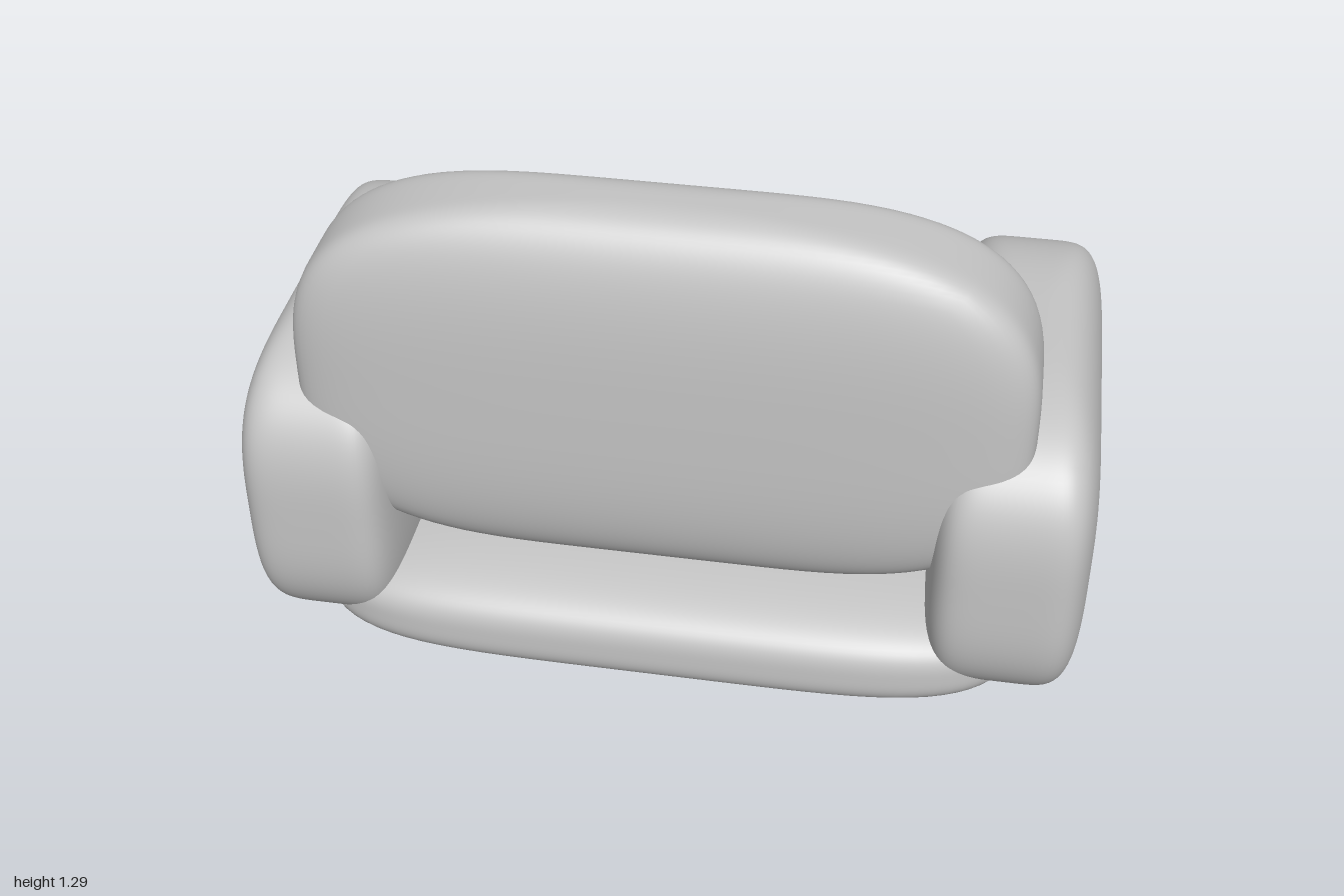
import * as THREE from 'three';
import { mergeVertices } from 'three/addons/utils/BufferGeometryUtils.js';

// Soft pillow block filling the given ranges.
// plan: squareness seen from above, side: squareness of the vertical sections.
function pillow([x0, x1], [y0, y1], [z0, z1], plan, side) {
  const box = new THREE.BoxGeometry(2, 2, 2, 32, 32, 32);
  box.deleteAttribute('uv');
  box.deleteAttribute('normal');
  const geometry = mergeVertices(box, 1e-4);
  const pos = geometry.attributes.position;
  const p = new THREE.Vector3();
  for (let i = 0; i < pos.count; i++) {
    p.fromBufferAttribute(pos, i);
    const flat = Math.pow(Math.abs(p.x) ** plan + Math.abs(p.z) ** plan, 1 / plan);
    p.divideScalar(Math.pow(flat ** side + Math.abs(p.y) ** side, 1 / side));
    pos.setXYZ(i, p.x, p.y, p.z);
  }
  geometry.scale((x1 - x0) / 2, (y1 - y0) / 2, (z1 - z0) / 2);
  geometry.translate((x0 + x1) / 2, (y0 + y1) / 2, (z0 + z1) / 2);
  geometry.computeVertexNormals();
  return geometry;
}

export function createModel() {
  const sofa = new THREE.Group();
  sofa.name = 'sofa';
  const fabric = new THREE.MeshStandardMaterial({ color: 0xc4c4c4 });
  fabric.name = 'grey fabric';

  const add = (name, ...shape) => {
    const mesh = new THREE.Mesh(pillow(...shape), fabric);
    mesh.name = name;
    sofa.add(mesh);
  };

  // Low base and tall backrest
  add('base', [-0.88, 0.88], [0, 0.295], [-0.54, 0.57], 5, 3.2);
  add('backrest', [-0.84, 0.84], [0.33, 1.29], [0.16, 0.52], 6, 3.1);

  // Mirrored armrests and seat cushions
  for (const [label, s] of [['left', 1], ['right', -1]]) {
    const span = (a, b) => (s > 0 ? [a, b] : [-b, -a]);
    add(label + 'Armrest', span(0.62, 1), [0.02, 0.845], [-0.545, 0.565], 6, 3.3);
    add(label + 'SeatCushion', span(0, 0.77), [0.2, 0.56], [-0.575, 0.32], 5, 4);
  }
  return sofa;
}
